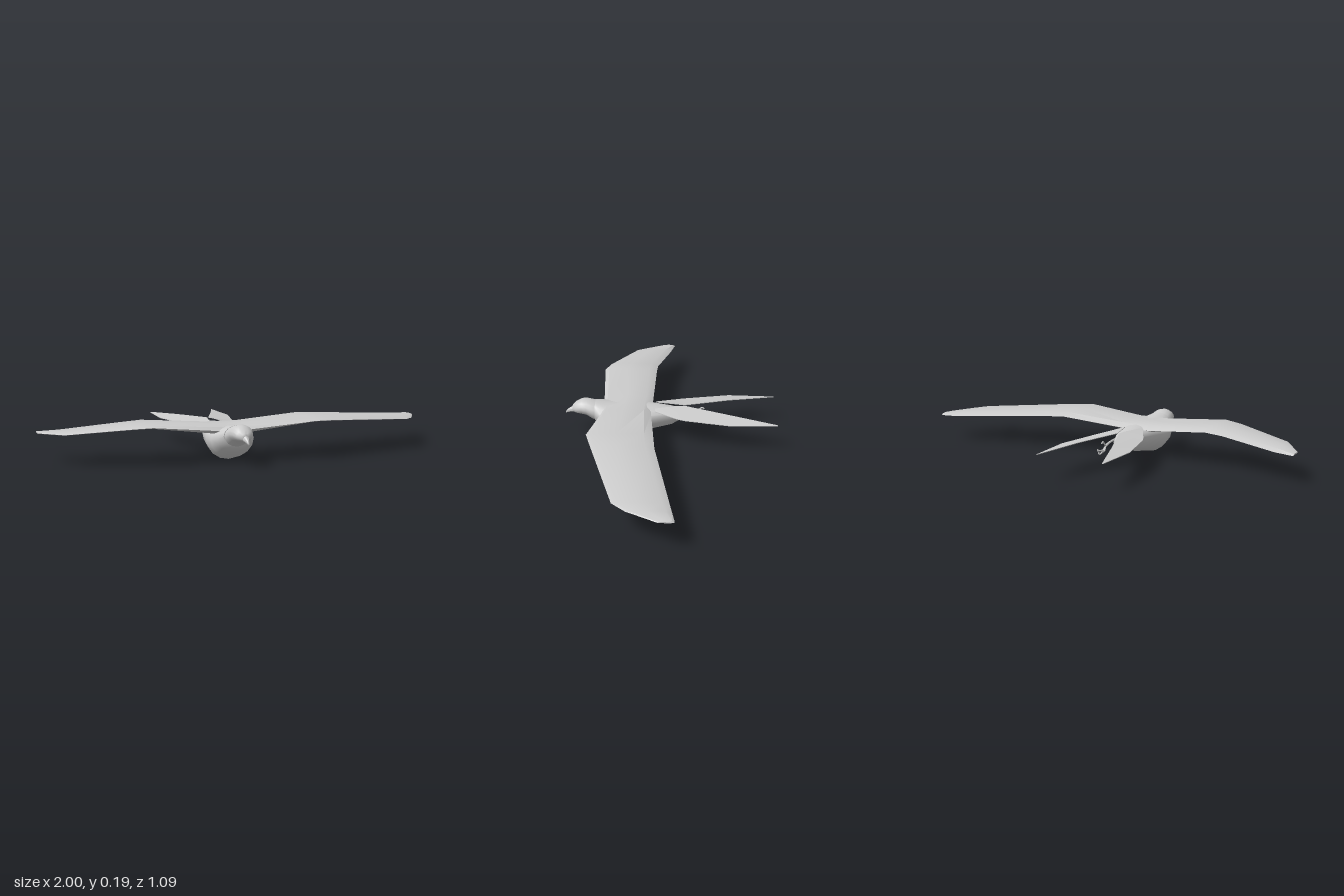
import * as THREE from 'three';
import { toCreasedNormals } from 'three/addons/utils/BufferGeometryUtils.js';

const CX = -0.12; // body axis
const grey = new THREE.MeshStandardMaterial({ color: 0xcccccc, side: THREE.DoubleSide });

function part(parent, name, geometry) {
  const mesh = new THREE.Mesh(geometry, grey);
  mesh.name = name;
  parent.add(mesh);
  return mesh;
}

// Skin a list of rings (each counter-clockwise seen from the loft's end) and cap both ends
function loft(rings, crease) {
  const n = rings[0].length, pos = rings.flat(2), index = [];
  for (let r = 0; r < rings.length - 1; r++) {
    for (let i = 0; i < n; i++) {
      const a = r * n + i, b = r * n + (i + 1) % n;
      index.push(a, b, b + n, a, b + n, a + n);
    }
  }
  const last = (rings.length - 1) * n;
  for (let i = 1; i < n - 1; i++) {
    index.push(0, i + 1, i, last, last + i, last + i + 1);
  }
  const g = new THREE.BufferGeometry();
  g.setAttribute('position', new THREE.Float32BufferAttribute(pos, 3));
  g.setIndex(index);
  return toCreasedNormals(g, crease);
}

// Egg-shaped ring across the body: widest at height mid
function bodyRing([z, bottom, mid, top, half], n = 16) {
  return Array.from({ length: n }, (_, i) => {
    const a = i / n * Math.PI * 2, s = Math.sin(a);
    return [CX + half * Math.cos(a), mid + s * (s > 0 ? top - mid : mid - bottom), z];
  });
}
const bodyLoft = sections => loft(sections.map(s => bodyRing(s)), 0.9);

// Wing section at x: top, leading edge, underside, trailing edge
function wingRing([x, front, back, y, thick, droop]) {
  const at = (t, dy) => [x, y + dy, front + (back - front) * t];
  return [
    at(0.86, 0), at(0.45, 0.002), at(0.07, 0), at(0, -thick * 0.5),
    at(0.1, -thick), at(0.85, -thick), at(1, -droop),
  ];
}

export function createModel() {
  const bird = new THREE.Group();
  bird.name = 'bird';

  // z, bottom, widest height, top, half width
  part(bird, 'body', bodyLoft([
    [-0.095, 0.112, 0.12, 0.13, 0.012],
    [-0.003, 0.06, 0.125, 0.155, 0.05],
    [0.134, 0.03, 0.12, 0.17, 0.092],
    [0.26, 0.003, 0.11, 0.173, 0.113],
    [0.32, 0.02, 0.11, 0.176, 0.108],
    [0.36, 0.053, 0.12, 0.182, 0.09],
    [0.39, 0.08, 0.135, 0.186, 0.068],
  ]));
  part(bird, 'head', bodyLoft([
    [0.37, 0.075, 0.135, 0.18, 0.064],
    [0.40, 0.088, 0.138, 0.187, 0.064],
    [0.435, 0.112, 0.15, 0.195, 0.057],
    [0.46, 0.116, 0.152, 0.193, 0.052],
    [0.49, 0.121, 0.148, 0.178, 0.041],
    [0.505, 0.124, 0.143, 0.162, 0.022],
    [0.51, 0.126, 0.141, 0.156, 0.012],
  ]));
  part(bird, 'beak', bodyLoft([
    [0.495, 0.122, 0.137, 0.158, 0.018],
    [0.52, 0.121, 0.132, 0.146, 0.012],
    [0.535, 0.118, 0.125, 0.135, 0.007],
    [0.545, 0.114, 0.117, 0.122, 0.003],
  ]));

  // Both wings in one span: x, front z, back z, top y, thickness, trailing edge droop
  part(bird, 'wings', loft([
    [-1.0, 0.065, 0.0, 0.146, 0.005, 0.007],
    [-0.9, 0.215, 0.022, 0.155, 0.008, 0.014],
    [-0.61, 0.345, 0.085, 0.188, 0.012, 0.016],
    [-0.52, 0.37, 0.088, 0.195, 0.014, 0.016],
    [-0.2, 0.35, 0.095, 0.172, 0.033, 0.02],
    [-0.04, 0.35, 0.1, 0.172, 0.033, 0.02],
    [0.28, 0.4, 0.075, 0.195, 0.014, 0.016],
    [0.39, 0.37, 0.065, 0.189, 0.012, 0.016],
    [0.86, 0.235, -0.022, 0.154, 0.009, 0.014],
    [0.92, 0.17, -0.033, 0.149, 0.008, 0.012],
    [0.99, 0.05, -0.045, 0.145, 0.005, 0.008],
    [1.0, 0.03, -0.03, 0.143, 0.004, 0.004],
  ].map(wingRing), 0.5));

  for (const [side, name] of [[1, 'left'], [-1, 'right']]) {
    // Tail feather: z, inner x, outer x, inner y, outer y
    const rows = [
      [0.08, 0.04, 0.062, 0.162, 0.155],
      [-0.03, 0.012, 0.12, 0.165, 0.143],
      [-0.07, 0.005, 0.135, 0.163, 0.141],
      [-0.3, 0.092, 0.186, 0.154, 0.139],
      [-0.54, 0.172, 0.177, 0.139, 0.138],
    ];
    part(bird, name + 'TailFeather', loft(rows.map(([z, xi, xo, yi, yo]) => {
      const a = [CX + side * xi, yi, z], b = [CX + side * xo, yo, z];
      const under = ([x, y, w]) => [x, y - 0.003, w];
      // Seen from behind, the loft runs towards -z
      return side > 0 ? [a, b, under(b), under(a)] : [under(a), under(b), b, a];
    }), 0.4));

    // Leg with curled toes, trailing behind the body
    const foot = new THREE.Group();
    foot.name = name + 'Leg';
    foot.position.x = CX + side * 0.036;
    bird.add(foot);
    const tube = (label, pts, r) => part(foot, label, new THREE.TubeGeometry(
      new THREE.CatmullRomCurve3(pts.map(p => new THREE.Vector3(side * p[0], p[1], p[2]))),
      10, r, 6));
    tube('shank', [[-0.012, 0.128, -0.05], [-0.004, 0.12, -0.1], [0, 0.107, -0.135]], 0.006);
    tube('hindToe', [[0, 0.107, -0.132], [0, 0.125, -0.148], [0, 0.135, -0.16], [0, 0.128, -0.172]], 0.004);
    for (const spread of [-0.014, 0, 0.014]) {
      const k = Math.abs(spread) * 0.8;
      tube('frontToe', [
        [0, 0.107, -0.132], [spread * 0.4, 0.09, -0.152],
        [spread, 0.08 + k, -0.18], [spread, 0.079 + k, -0.198 + k], [spread, 0.09 + k, -0.2 + k],
      ], 0.004);
    }
  }
  return bird;
}
